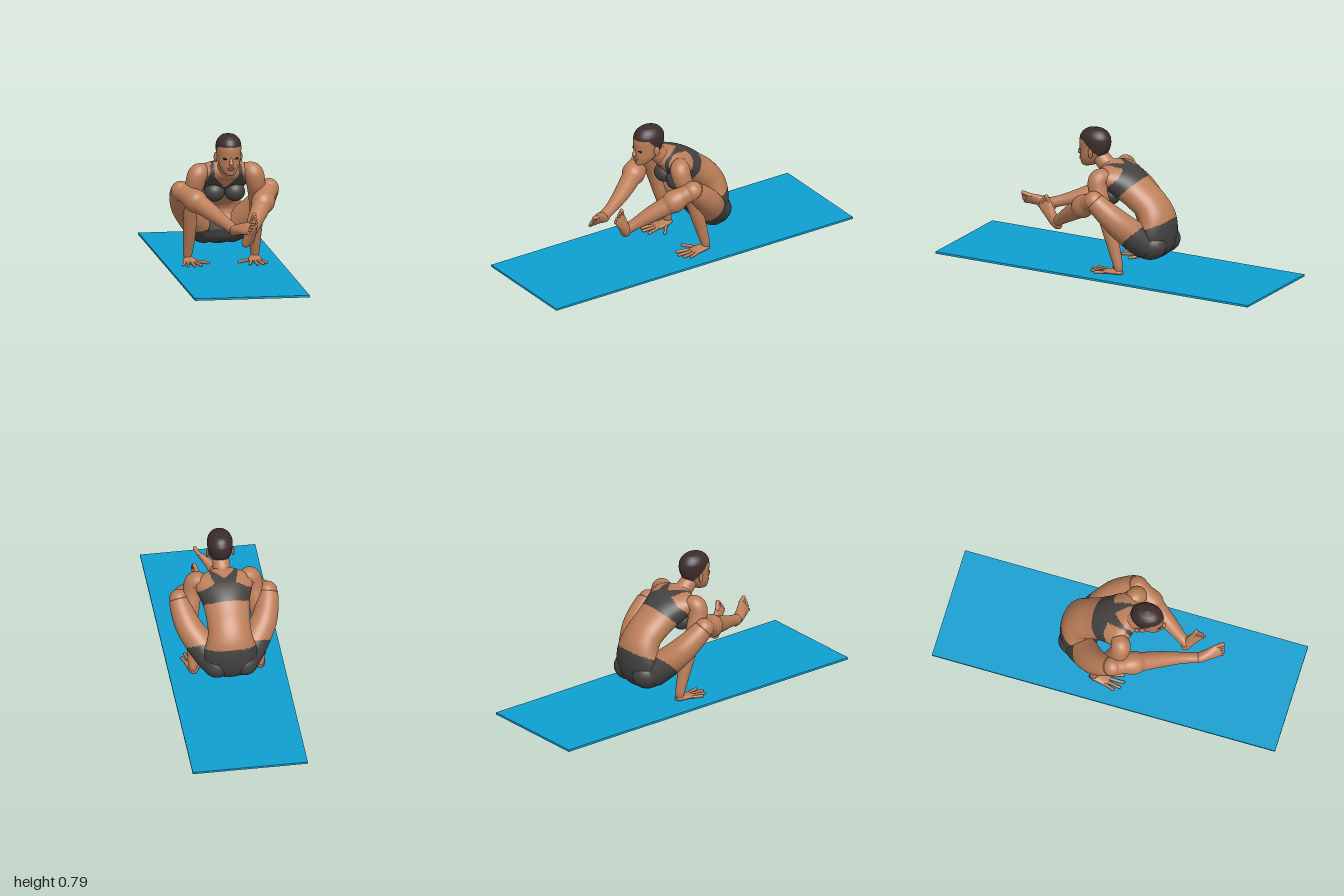
import * as THREE from 'three';

const material = (name, color) => Object.assign(new THREE.MeshStandardMaterial({ color }), { name });
const V = (x, y, z) => new THREE.Vector3(x, y, z);

// Smooth skin over elliptical rings; each station is [x, y, z, halfWidth, halfDepth]
function loft(stations, { side = V(1, 0, 0), axis = null, segs = 32, rings = 40 } = {}) {
  const path = new THREE.CatmullRomCurve3(stations.map(s => V(s[0], s[1], s[2])));
  const size = new THREE.CatmullRomCurve3(stations.map(s => V(s[3], s[4] ?? s[3], 0)));
  const pos = [], index = [];
  for (let i = 0; i <= rings; i++) {
    const t = i / rings, p = path.getPoint(t), r = size.getPoint(t);
    const along = axis ?? path.getTangent(t);
    const across = side.clone().addScaledVector(along, -along.dot(side)).normalize();
    const out = along.clone().cross(across);
    for (let j = 0; j < segs; j++) {
      const a = j / segs * Math.PI * 2;
      const q = p.clone().addScaledVector(across, Math.max(r.x, 0.001) * Math.cos(a))
        .addScaledVector(out, Math.max(r.y, 0.001) * Math.sin(a));
      pos.push(q.x, q.y, q.z);
      if (i < rings) {
        const b = i * segs + j, c = i * segs + (j + 1) % segs;
        index.push(b, c, c + segs, b, c + segs, b + segs);
      }
    }
  }
  const first = stations[0], last = stations[stations.length - 1], n = pos.length / 3;
  pos.push(first[0], first[1], first[2], last[0], last[1], last[2]);
  for (let j = 0; j < segs; j++) {
    const k = (j + 1) % segs, e = rings * segs;
    index.push(n, k, j, n + 1, e + j, e + k);
  }
  const geo = new THREE.BufferGeometry();
  geo.setAttribute('position', new THREE.Float32BufferAttribute(pos, 3));
  geo.setIndex(index);
  geo.computeVertexNormals();
  return geo;
}

// Sort faces into two material groups by a rule on the face centre
function paint(geo, rule) {
  const idx = geo.index.array, p = geo.attributes.position, lists = [[], []];
  for (let i = 0; i < idx.length; i += 3) {
    const f = [idx[i], idx[i + 1], idx[i + 2]], c = V(0, 0, 0);
    f.forEach(k => c.add(V(p.getX(k), p.getY(k), p.getZ(k))));
    lists[rule(c.divideScalar(3)) ? 1 : 0].push(...f);
  }
  geo.setIndex([...lists[0], ...lists[1]]);
  geo.addGroup(0, lists[0].length, 0);
  geo.addGroup(lists[0].length, lists[1].length, 1);
  return geo;
}

export function createModel() {
  const skin = material('skin', 0xbd7f5a), cloth = material('charcoal cloth', 0x444241);
  const hair = material('dark hair', 0x3d2d2d), blue = material('mat blue', 0x0e9fd0);
  const dark = material('eye dark', 0x231a18);
  const model = new THREE.Group();
  model.name = 'armBalanceFigure';

  const add = (name, geo, mat, parent = model) => {
    const m = new THREE.Mesh(geo, mat);
    m.name = name;
    parent.add(m);
    return m;
  };
  const ball = (name, mat, at, r, parent) => {
    const m = add(name, new THREE.SphereGeometry(1, 28, 20), mat, parent);
    m.position.set(...at);
    m.scale.set(...r);
    return m;
  };
  const digit = (name, a, b, r, parent) => {
    const d = b.clone().sub(a);
    const m = add(name, new THREE.CapsuleGeometry(r, d.length(), 6, 12), skin, parent);
    m.position.copy(a).addScaledVector(d, 0.5);
    m.quaternion.setFromUnitVectors(V(0, 1, 0), d.normalize());
  };

  // Mat
  add('mat', new THREE.BoxGeometry(0.65, 0.012, 2), blue).position.y = 0.006;

  // Torso, curled forward, with top and shorts as painted faces
  const torso = loft([
    [0, 0.10, -0.185, 0.03, 0.02], [0, 0.115, -0.19, 0.1, 0.07], [0, 0.15, -0.205, 0.145, 0.1],
    [0, 0.20, -0.225, 0.158, 0.11], [0, 0.26, -0.24, 0.15, 0.1], [0, 0.32, -0.235, 0.132, 0.095],
    [0, 0.38, -0.20, 0.12, 0.09], [0, 0.43, -0.14, 0.122, 0.09], [0, 0.475, -0.08, 0.132, 0.094],
    [0, 0.515, -0.02, 0.155, 0.088], [0, 0.545, 0.03, 0.165, 0.07], [0, 0.565, 0.065, 0.12, 0.055],
    [0, 0.58, 0.085, 0.06, 0.04], [0, 0.59, 0.095, 0.02, 0.015],
  ], { segs: 80, rings: 120 });
  add('torso', paint(torso, c => {
    if (c.y < 0.188 - 0.4 * c.z && c.z < -0.05 && c.y < 0.34) return true;
    const s = 0.7 * (c.y + c.z), x = Math.abs(c.x), up = s - 0.345;
    if (s < 0.266) return false;
    if (up < 0) return true;
    const back = c.y - c.z > 0.53;
    if (back) return x < Math.max(0.125 - up * 2.2, 0.055 + up * 0.25) && x > (up - 0.055) * 1.2;
    return x > Math.min(up * 0.8, 0.068) && x < Math.max(0.125 - up * 0.35, 0.09);
  }), [skin, cloth]);

  // Neck and head
  add('neck', loft([[0, 0.54, 0.03, 0.062], [0, 0.58, 0.085, 0.05], [0, 0.635, 0.14, 0.046]]), skin);
  const headRings = [ // y, half width, front z, back z
    [0.556, 0.015, 0.235, 0.195], [0.565, 0.03, 0.243, 0.165], [0.585, 0.045, 0.247, 0.135],
    [0.61, 0.057, 0.248, 0.11], [0.64, 0.064, 0.25, 0.085], [0.67, 0.068, 0.251, 0.07],
    [0.70, 0.071, 0.253, 0.064], [0.73, 0.07, 0.248, 0.066], [0.755, 0.06, 0.234, 0.08],
    [0.775, 0.038, 0.208, 0.105], [0.785, 0.002, 0.162, 0.158],
  ].map(([y, w, f, b]) => [0, y, (f + b) / 2, w, (f - b) / 2]);
  add('head', paint(loft(headRings, { axis: V(0, 1, 0), segs: 72, rings: 90 }),
    c => c.y > Math.max(0.63, 0.718 - Math.max(0, 0.2 - c.z))), [skin, hair]);
  add('nose', loft([[0, 0.662, 0.246, 0.005], [0, 0.64, 0.254, 0.009], [0, 0.627, 0.257, 0.014, 0.011],
    [0, 0.619, 0.25, 0.008, 0.005]], { segs: 16, rings: 16 }), skin);
  ball('upperLip', skin, [0, 0.602, 0.246], [0.022, 0.0045, 0.009]);
  ball('lowerLip', skin, [0, 0.593, 0.246], [0.019, 0.005, 0.009]);
  for (const s of [-1, 1]) {
    ball('ear', skin, [s * 0.072, 0.65, 0.15], [0.008, 0.028, 0.017]).rotation.y = s * -0.3;
    ball('eye', dark, [s * 0.031, 0.655, 0.239], [0.015, 0.0055, 0.005]).rotation.y = s * 0.4;
  }

  // Matching parts on both sides
  for (const s of [-1, 1]) {
    const word = s > 0 ? 'left' : 'right';
    const limb = (name, pts, mat = skin, rule) => {
      const geo = loft(pts.map(([x, y, z, r]) => [s * x, y, z, r]), { segs: 40, rings: 64 });
      add(word + name, rule ? paint(geo, rule) : geo, mat);
    };
    ball(word + 'Bust', cloth, [s * 0.058, 0.426, 0.018], [0.058, 0.054, 0.05]);
    ball(word + 'Buttock', cloth, [s * 0.078, 0.178, -0.23], [0.084, 0.085, 0.104]);

    // Thigh with shorts leg, and knee
    limb('Thigh', [[0.075, 0.165, -0.225, 0.06], [0.095, 0.185, -0.21, 0.085], [0.152, 0.25, -0.155, 0.083],
      [0.212, 0.33, -0.09, 0.074], [0.244, 0.405, -0.015, 0.062], [0.252, 0.44, 0.022, 0.055]],
      [skin, cloth], c => c.y + c.z < 0.07);
    ball(word + 'Knee', skin, [s * 0.25, 0.44, 0.028], [0.055, 0.057, 0.056]);

    // Arm
    limb('Arm', [[0.11, 0.555, 0.02, 0.04], [0.155, 0.537, 0.05, 0.056], [0.172, 0.48, 0.045, 0.054],
      [0.182, 0.40, 0.01, 0.046], [0.188, 0.31, -0.02, 0.04], [0.187, 0.24, -0.043, 0.039],
      [0.187, 0.14, -0.073, 0.033], [0.19, 0.06, -0.095, 0.026], [0.19, 0.03, -0.098, 0.02]]);

    // Hand spread on the mat
    const hand = new THREE.Group();
    hand.name = word + 'Hand';
    model.add(hand);
    add('palm', loft([[s * 0.19, 0.026, -0.12, 0.016, 0.01], [s * 0.188, 0.029, -0.1, 0.028, 0.017],
      [s * 0.184, 0.026, -0.06, 0.038, 0.014], [s * 0.186, 0.022, -0.02, 0.042, 0.01],
      [s * 0.187, 0.021, -0.005, 0.036, 0.007]]), skin, hand);
    const fingers = [[0.218, -0.022, 0.234, 0.028], [0.2, -0.012, 0.212, 0.06],
      [0.178, -0.012, 0.178, 0.072], [0.158, -0.018, 0.138, 0.06], [0.168, -0.075, 0.087, -0.012]];
    for (const [x0, z0, x1, z1] of fingers)
      digit('finger', V(s * x0, 0.022, z0), V(s * x1, 0.02, z1), 0.0085, hand);
  }

  // Shins, crossed in front
  const shin = (name, pts) => add(name, loft(pts, { segs: 40, rings: 60 }), skin);
  shin('rightShin', [[-0.25, 0.44, 0.025, 0.052], [-0.215, 0.42, 0.085, 0.053], [-0.16, 0.387, 0.17, 0.053],
    [-0.1, 0.347, 0.27, 0.045], [-0.04, 0.308, 0.39, 0.032], [-0.014, 0.29, 0.455, 0.03]]);
  shin('leftShin', [[0.25, 0.44, 0.025, 0.052], [0.225, 0.412, 0.08, 0.053], [0.185, 0.36, 0.155, 0.053],
    [0.14, 0.305, 0.24, 0.045], [0.097, 0.247, 0.325, 0.032], [0.075, 0.218, 0.37, 0.029]]);

  // Foot built sole down and toes to +z, then turned to its pose
  const foot = (name, s, heel, toward, top) => {
    const g = new THREE.Group();
    g.name = name;
    add('footBody', loft([[0, 0.022, -0.006, 0.01], [0, 0.024, 0.008, 0.024, 0.022], [0, 0.032, 0.045, 0.029, 0.032],
      [0, 0.028, 0.09, 0.032, 0.027], [0, 0.02, 0.13, 0.038, 0.02], [0, 0.014, 0.16, 0.039, 0.014],
      [0, 0.012, 0.174, 0.032, 0.009]]), skin, g);
    for (let i = 0; i < 5; i++) {
      const x = s * (0.029 - i * 0.0155);
      digit('toe', V(x, 0.013, 0.155), V(x * 1.08, 0.014, 0.196 - i * i * 0.0017), i ? 0.0078 : 0.0115, g);
    }
    const across = top.clone().cross(toward).normalize(), ahead = toward.clone().normalize();
    g.quaternion.setFromRotationMatrix(
      new THREE.Matrix4().makeBasis(across, ahead.clone().cross(across), ahead));
    g.position.copy(heel);
    model.add(g);
  };
  foot('rightFoot', 1, V(0.0, 0.26, 0.42), V(0.4, 0.33, 0.85), V(-0.79, 0.54, 0.28));
  foot('leftFoot', -1, V(0.037, 0.187, 0.362), V(0.32, 0.85, 0.42), V(1, -0.1, -0.3));

  return model;
}
